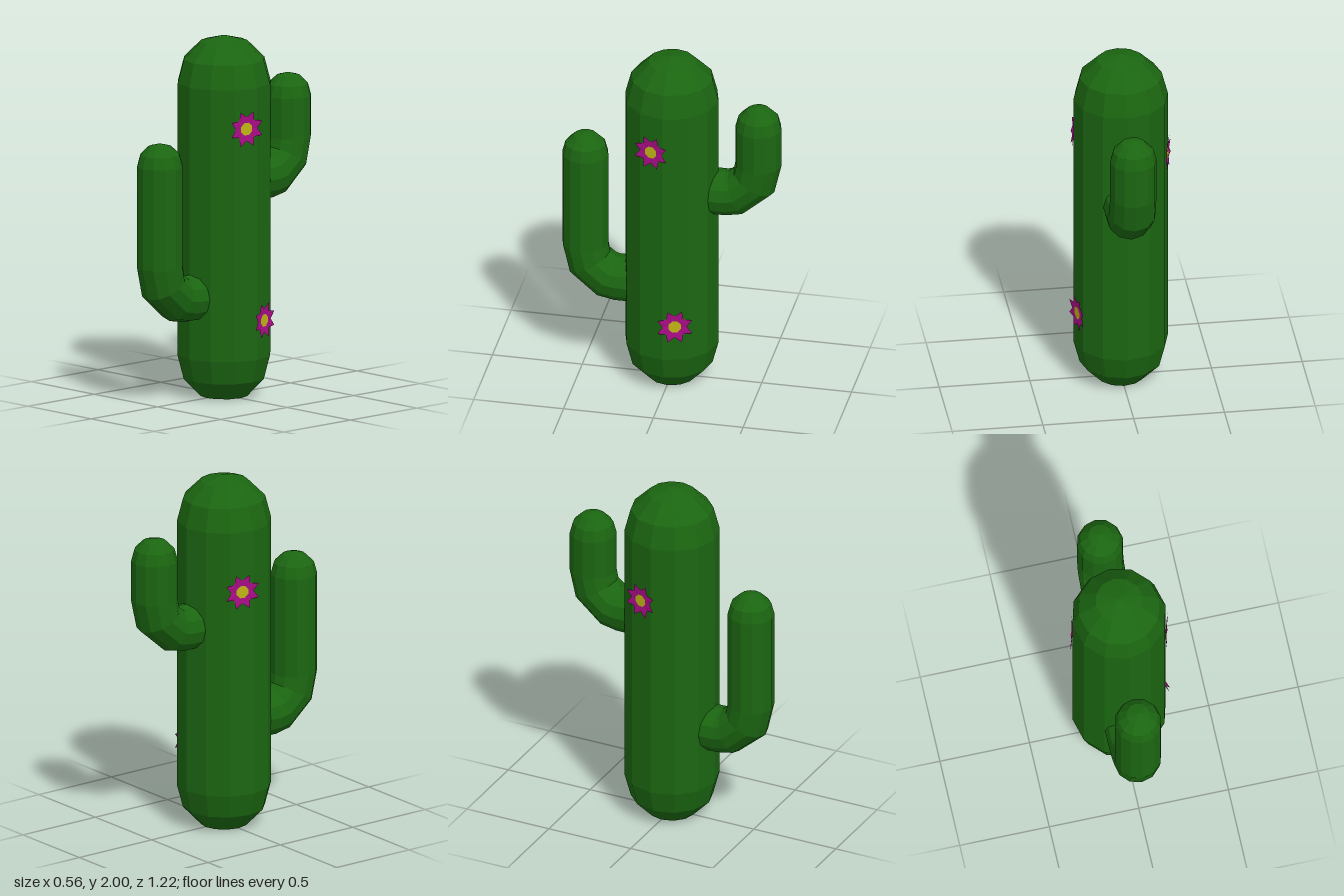
import * as THREE from 'three';

const green = new THREE.MeshStandardMaterial({ color: 0x1b6611, flatShading: true });
const pink = new THREE.MeshStandardMaterial({ color: 0xa80d86, flatShading: true, side: THREE.DoubleSide });
const yellow = new THREE.MeshStandardMaterial({ color: 0xc0b414, flatShading: true, side: THREE.DoubleSide });
const SIDES = 12;

function addMesh(parent, name, geometry, material) {
  const mesh = new THREE.Mesh(geometry, material);
  mesh.name = name;
  parent.add(mesh);
  return mesh;
}

// Bent arm growing along +z, then up; each ring is given by its outer and inner edge (z, y)
function armGeometry(elbowY, shoulderY) {
  const R = 0.128, Z = 0.482;
  const rings = [
    [0.15, -R, 0.15, R],
    [0.31, -R, 0.30, R],
    [0.41, -0.108, 0.315, 0.132],
    [0.57, 0.03, 0.345, 0.155],
    [Z + R, 0.2, Z - R, 0.2],
  ].map(([oz, oy, iz, iy]) => [oz, oy + elbowY, iz, iy + elbowY]);
  // straight part and rounded tip
  for (let k = 0; k <= 3; k++) {
    const a = k * Math.PI / 6;
    const r = k === 3 ? 0 : R * Math.cos(a);
    const y = shoulderY + R * Math.sin(a);
    rings.push([Z + r, y, Z - r, y]);
  }
  const positions = [], index = [];
  rings.forEach(([oz, oy, iz, iy], i) => {
    const hz = (oz - iz) / 2, hy = (oy - iy) / 2, r = Math.hypot(hz, hy);
    for (let j = 0; j < SIDES; j++) {
      const t = j / SIDES * Math.PI * 2;
      positions.push(r * Math.cos(t), (oy + iy) / 2 + hy * Math.sin(t), (oz + iz) / 2 + hz * Math.sin(t));
      if (i === rings.length - 1) continue;
      const a = i * SIDES + j, b = i * SIDES + (j + 1) % SIDES;
      index.push(a, a + SIDES, b);
      if (i < rings.length - 2) index.push(b, a + SIDES, b + SIDES);
    }
  });
  const geometry = new THREE.BufferGeometry();
  geometry.setAttribute('position', new THREE.Float32BufferAttribute(positions, 3));
  geometry.setIndex(index);
  geometry.computeVertexNormals();
  return geometry;
}

// Eight-pointed, slightly cupped flower lying against one facet of the trunk
function createFlower(name, y, angle) {
  const flower = new THREE.Group();
  flower.name = name;
  const star = new THREE.CircleGeometry(1, 16, Math.PI / 8);
  const p = star.attributes.position;
  for (let i = 1; i < p.count; i++) {
    const tip = i % 2 === 1;
    const r = tip ? 0.103 : 0.066;
    p.setXYZ(i, p.getX(i) * r, p.getY(i) * r, tip ? 0.009 : 0.004);
  }
  star.computeVertexNormals();
  addMesh(flower, name + 'Petals', star, pink);
  addMesh(flower, name + 'Centre', new THREE.CircleGeometry(0.037, 8, Math.PI / 8), yellow).position.z = 0.005;
  const d = 0.254;
  flower.position.set(d * Math.sin(angle), y, d * Math.cos(angle));
  flower.rotation.y = angle;
  return flower;
}

export function createModel() {
  const model = new THREE.Group();
  model.name = 'cactus';

  // Trunk with rounded top and flat foot
  const profile = [[0, 0], [0.13, 0], [0.226, 0.1], [0.26, 0.23], [0.26, 1.74], [0.226, 1.87], [0.13, 1.966], [0, 2]]
    .map(([x, y]) => new THREE.Vector2(x, y));
  addMesh(model, 'trunk', new THREE.LatheGeometry(profile, SIDES), green);

  // Arms
  addMesh(model, 'frontArm', armGeometry(0.573, 1.333), green);
  addMesh(model, 'backArm', armGeometry(1.177, 1.602), green).rotation.y = Math.PI;

  // Flowers
  const deg = Math.PI / 180;
  model.add(
    createFlower('upperFlower', 1.52, 75 * deg),
    createFlower('lowerFlower', 0.44, 105 * deg),
    createFlower('sideFlower', 1.4, -105 * deg),
  );
  return model;
}
